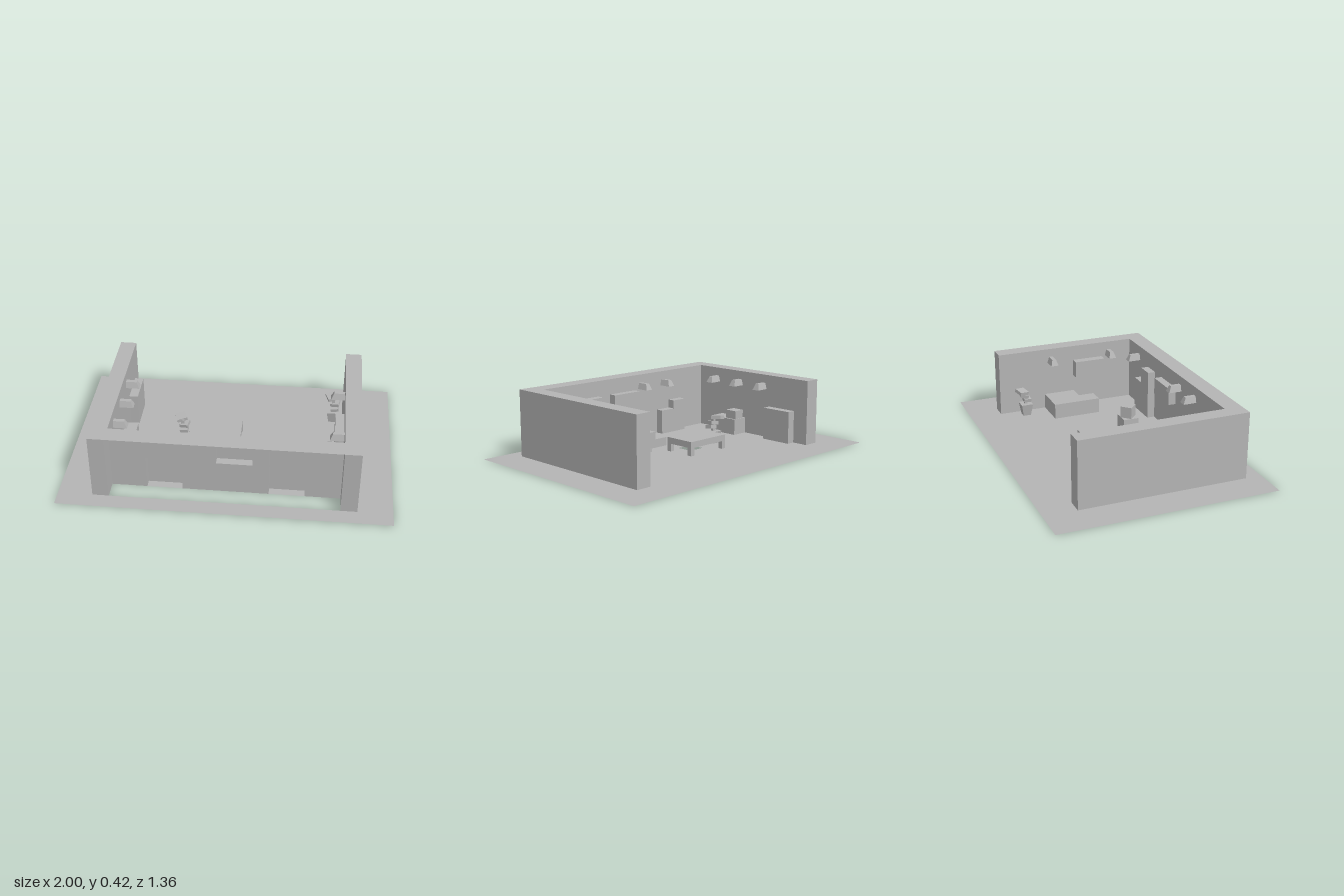
import * as THREE from 'three';

const grey = new THREE.MeshStandardMaterial({ color: 0xb4b4b4, side: THREE.DoubleSide, flatShading: true });
grey.name = 'plain grey';

const WALL_H = 0.42, IN = 0.69, OUT = 0.79, BACK = -0.475, FRONT_IN = 0.47, FRONT_OUT = 0.58;

const rect = (x0, y0, x1, y1) => [[x0, y0], [x1, y0], [x1, y1], [x0, y1]];
const toVecs = (pts) => pts.map(([x, y]) => new THREE.Vector2(x, y));

// Outline capped at z = 0 with sides running back to z = -depth, open behind
function shellParts(points, depth) {
  const v = toVecs(points);
  if (THREE.ShapeUtils.isClockWise(v)) v.reverse();
  const pos = [];
  v.forEach((a, i) => {
    const b = v[(i + 1) % v.length];
    pos.push(a.x, a.y, 0, a.x, a.y, -depth, b.x, b.y, -depth);
    pos.push(a.x, a.y, 0, b.x, b.y, -depth, b.x, b.y, 0);
  });
  const sides = new THREE.BufferGeometry();
  sides.setAttribute('position', new THREE.Float32BufferAttribute(pos, 3));
  sides.computeVertexNormals();
  return [new THREE.ShapeGeometry(new THREE.Shape(v)), sides];
}

export function createModel() {
  const model = new THREE.Group();
  const add = (name, geo, parent = model) => {
    const mesh = new THREE.Mesh(geo, grey);
    mesh.name = name;
    parent.add(mesh);
    return mesh;
  };
  const box = (name, x0, x1, y0, y1, z0, z1, parent) => {
    const g = new THREE.BoxGeometry(x1 - x0, y1 - y0, z1 - z0);
    return add(name, g.translate((x0 + x1) / 2, (y0 + y1) / 2, (z0 + z1) / 2), parent);
  };
  // Plan outline in (x, z) raised to height h, open below
  const raised = (name, plan, h) => {
    const group = new THREE.Group();
    group.name = name;
    shellParts(plan.map(([x, z]) => [x, -z]), h).forEach((g, i) =>
      add(name + (i ? 'Sides' : 'Top'), g.rotateX(-Math.PI / 2).translate(0, h, 0), group));
    model.add(group);
  };
  // Elevation outline in (x, y) standing out from the front wall, open behind
  const wallUnit = (name, outline) => {
    const group = new THREE.Group();
    group.name = name;
    shellParts(outline.map(([x, y]) => [-x, y]), 0.05).forEach((g, i) =>
      add(name + (i ? 'Sides' : 'Face'), g.rotateY(Math.PI).translate(0, 0, 0.42), group));
    model.add(group);
  };

  // Floor, cut away under the walls and the solid furniture
  const sofaPlan = [[0.475, -0.16], [0.687, -0.16], [0.687, 0.05], [0.58, 0.05], [0.58, 0.155], [0.475, 0.155]];
  const cutouts = [
    [[-OUT, BACK], [-IN, BACK], [-IN, FRONT_IN], [IN, FRONT_IN], [IN, BACK], [OUT, BACK], [OUT, FRONT_OUT], [-OUT, FRONT_OUT]],
    sofaPlan,
    rect(-0.05, 0.16, 0.16, 0.26),
    rect(-0.16, -0.055, -0.05, 0.05),
    rect(-0.687, -0.37, -0.635, -0.16),
    rect(-0.687, 0.05, -0.58, 0.26),
  ];
  const flip = (pts) => toVecs(pts.map(([x, z]) => [x, -z]));
  const floor = new THREE.Shape(flip(rect(-1, -0.68, 1, 0.68)));
  cutouts.forEach((c) => floor.holes.push(new THREE.Path(flip(c))));
  add('floor', new THREE.ShapeGeometry(floor).rotateX(-Math.PI / 2));

  // Side walls, and front wall with its inner face and top only
  raised('leftWall', rect(IN, BACK, OUT, FRONT_OUT), WALL_H);
  raised('rightWall', rect(-OUT, BACK, -IN, FRONT_OUT), WALL_H);
  const lowUnit = [[-0.475, 0], [-0.475, 0.215], [-0.37, 0.215], [-0.37, 0.16], [-0.26, 0.16], [-0.26, 0]];
  const tallUnit = [[0.26, 0], [0.26, 0.32], [0.37, 0.32], [0.37, 0.215], [0.475, 0.215], [0.475, 0]];
  const panel = rect(-0.055, 0.21, 0.16, 0.32);
  const face = new THREE.Shape(toVecs([[-IN, 0], ...lowUnit, ...tallUnit, [IN, 0], [IN, WALL_H], [-IN, WALL_H]]));
  face.holes.push(new THREE.Path(toVecs(panel)));
  add('frontWallInside', new THREE.ShapeGeometry(face).translate(0, 0, FRONT_IN));
  add('frontWallTop', new THREE.PlaneGeometry(2 * IN, FRONT_OUT - FRONT_IN).rotateX(-Math.PI / 2)
    .translate(0, WALL_H, (FRONT_IN + FRONT_OUT) / 2));

  // Units on the walls
  wallUnit('lowCabinet', lowUnit);
  wallUnit('tallCabinet', tallUnit);
  wallUnit('wallPanel', panel);
  box('leftWallCupboard', 0.635, IN, 0.21, 0.32, 0.05, 0.26);
  raised('rightCabinet', rect(-IN, -0.37, -0.635, -0.16), 0.21);

  // Sofa, desk and stepped seat
  raised('cornerSofa', sofaPlan, 0.1);
  raised('sideDesk', rect(-IN, 0.05, -0.58, 0.26), 0.105);
  box('deskBlock', -0.67, -0.595, 0.105, 0.16, 0.055, 0.14);
  raised('seatLow', rect(-0.05, 0.16, 0.05, 0.26), 0.055);
  raised('seatHigh', rect(0.05, 0.16, 0.16, 0.26), 0.105);
  const cube = add('seatCube', new THREE.BoxGeometry(0.075, 0.075, 0.075));
  cube.position.set(0.105, 0.1425, 0.21);
  cube.rotation.y = Math.PI / 4;

  // Table
  box('tableTop', -0.26, 0.05, 0.05, 0.09, -0.16, 0.05);
  for (const x of [-0.26, 0.02]) for (const z of [-0.16, 0.02])
    box('tableLeg', x, x + 0.03, 0, 0.05, z, z + 0.03);

  // Wall lamps: tapered wedges, base against the wall
  const lamp = (x, z, turn) => {
    const g = new THREE.BoxGeometry(0.05, 0.04, 0.085);
    const p = g.attributes.position;
    for (let i = 0; i < p.count; i++) {
      if (p.getY(i) > 0) {
        p.setX(i, p.getX(i) * 0.5);
        if (p.getZ(i) > 0) p.setZ(i, 0.025);
      }
    }
    g.computeVertexNormals();
    const m = add('wallLamp', g.translate(0, 0, 0.0425));
    m.position.set(x, 0.345, z);
    m.rotation.y = turn;
  };
  for (const z of [-0.11, 0.31]) lamp(IN, z, -Math.PI / 2);
  for (const z of [-0.11, 0.1, 0.31]) lamp(-IN, z, Math.PI / 2);
  for (const x of [-0.315, -0.11, 0.525]) lamp(x, FRONT_IN, Math.PI);

  // Potted plants: flared square pot and a stack of turned leaf blocks
  for (const [px, pz] of [[0.627, -0.317], [-0.32, 0.002]]) {
    const plant = new THREE.Group();
    plant.name = 'pottedPlant';
    plant.position.set(px, 0, pz);
    const pot = new THREE.CylinderGeometry(0.055, 0.036, 0.08, 4).rotateY(Math.PI / 4);
    add('pot', pot.translate(0, 0.04, 0), plant);
    box('stem', -0.01, 0.01, 0.08, 0.17, -0.01, 0.01, plant);
    for (const [x, y, z, s, turn] of [[0.01, 0.105, 0.01, 0.05, 0], [0.012, 0.135, -0.005, 0.055, -0.2], [-0.012, 0.17, -0.028, 0.065, 0.35]]) {
      const leaf = add('leafBlock', new THREE.BoxGeometry(s, 0.022, s), plant);
      leaf.position.set(x, y, z);
      leaf.rotation.set(0.12, turn, 0.15);
    }
    model.add(plant);
  }
  return model;
}
